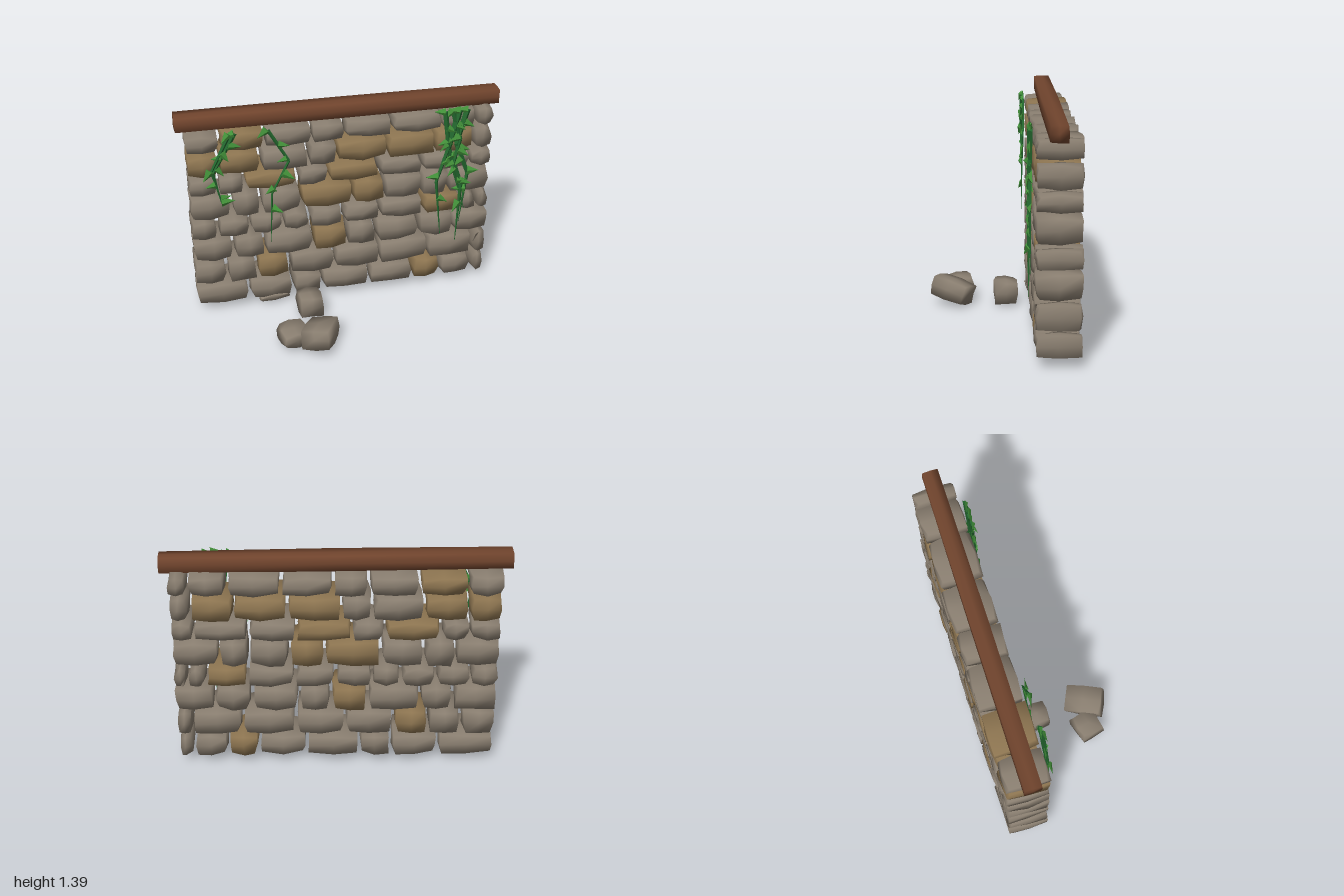
import * as THREE from 'three';
import { mergeVertices } from 'three/addons/utils/BufferGeometryUtils.js';

const mat = (name, color, extra = {}) => new THREE.MeshStandardMaterial({ name, color, ...extra });

function seeded(seed) {
  let s = seed;
  return () => {
    s = (s * 16807) % 2147483647;
    return s / 2147483647;
  };
}

export function createModel() {
  const group = new THREE.Group();
  const grey = mat('greyStone', 0x887d6f);
  const tan = mat('tanStone', 0x8c7450);
  const wood = mat('wood', 0x70442d);
  const stemGreen = mat('stemGreen', 0x24692f, { flatShading: true });
  const leafGreen = mat('leafGreen', 0x43923a, { side: THREE.DoubleSide, flatShading: true });
  const rand = seeded(4711);
  const jitter = (a) => (rand() * 2 - 1) * a;

  function add(parent, name, geometry, material) {
    const mesh = new THREE.Mesh(geometry, material);
    mesh.name = name;
    parent.add(mesh);
    return mesh;
  }

  // Rough block: a welded box with soft normals, corners drawn in and shifted
  function roughBlock(w, h, d, inset, rough) {
    let g = new THREE.BoxGeometry(w, h, d, 2, 2, 2);
    g.deleteAttribute('normal');
    g.deleteAttribute('uv');
    g = mergeVertices(g);
    const p = g.attributes.position;
    for (let i = 0; i < p.count; i++) {
      const v = [p.getX(i), p.getY(i), p.getZ(i)];
      const sides = v.filter((c) => Math.abs(c) > 1e-4).length;
      const pull = inset * [0, 0, 0.35, 1][sides];
      const r = rough * (sides === 3 ? 1 : 0.4);
      const [x, y, z] = v.map((c) => (Math.abs(c) > 1e-4 ? c - Math.sign(c) * pull : c));
      p.setXYZ(i, x + jitter(r), y + jitter(r * 0.7), z + jitter(r * 1.2));
    }
    g.computeVertexNormals();
    return g;
  }

  // Courses from the ground up: top height, joints between stones, tan stones
  const courses = [
    { top: 0.217, joints: [-.615, -.33, -.14, .175, .465, .65, .86], tans: [5] },
    { top: 0.39, joints: [-.75, -.555, -.345, -.055, .24, .56, .855], tans: [2] },
    { top: 0.56, joints: [-.695, -.5, -.19, .03, .215, .5, .72], tans: [3] },
    { top: 0.7, joints: [-.79, -.585, -.38, -.21, 0, .24, .52, .76, .87], tans: [7] },
    { top: 0.875, joints: [-.695, -.51, -.26, .065, .27, .505, .68], tans: [3, 4] },
    { top: 1.005, joints: [-.77, -.605, -.28, -.09, .23, .505, .815], tans: [2, 4] },
    { top: 1.165, joints: [-.76, -.505, -.21, -.03, .28, .585, .83], tans: [0, 1, 4, 5, 6] },
    { top: 1.3, joints: [-.745, -.475, -.19, .015, .31, .62, .84], tans: [1] },
  ];
  const gap = 0.018;
  const wall = new THREE.Group();
  wall.name = 'wall';
  group.add(wall);
  let bottom = 0.06;
  for (const { top, joints, tans } of courses) {
    const edges = [-0.957, ...joints, 0.957];
    for (let i = 0; i + 1 < edges.length; i++) {
      const g = roughBlock(edges[i + 1] - edges[i] - gap, top - bottom - gap, 0.258, 0.012, 0.013);
      const stone = add(wall, 'wallStone', g, tans.includes(i) ? tan : grey);
      stone.position.set((edges[i] + edges[i + 1]) / 2, (bottom + top) / 2, -0.314);
    }
    bottom = top;
  }

  // Fallen stones, and a shard under the lowest course
  function fallenStone(size, position, rotation) {
    const stone = add(group, 'fallenStone', roughBlock(...size, 0.008, 0.012), grey);
    stone.position.set(...position);
    stone.rotation.set(...rotation);
  }
  fallenStone([.15, .145, .15], [-.255, .098, -.045], [0, .12, -.08]);
  fallenStone([.17, .11, .16], [-.41, .1, .255], [.06, .22, 0]);
  fallenStone([.185, .135, .235], [-.25, .107, .295], [-.25, -.5, .05]);
  fallenStone([.2, .06, .1], [-.46, .07, -.235], [.15, .1, .05]);

  // Capping beam, dropping slightly to one side
  const beam = roughBlock(2, 0.096, 0.104, 0.003, 0.003);
  beam.rotateZ(-0.012);
  add(group, 'beam', beam, wood).position.set(0, 1.338, -0.302);

  // Leaf: a flat three-sided spike hanging from its base
  const leafGeometry = new THREE.ConeGeometry(0.038, 0.08, 3);
  leafGeometry.scale(1, -1, 0.35).translate(0, -0.034, 0);

  // Hanging vine: tapering three-sided stem through four points, with leaves
  const drops = [0, 0.28, 0.55, 1];
  const up = new THREE.Vector3(0, 1, 0);
  function hangVine(radius, length, leaves, xs) {
    const vine = new THREE.Group();
    vine.name = 'vine';
    group.add(vine);
    const path = xs.map((x, i) => new THREE.Vector3(x, 1.31 - length * drops[i], -0.157 + jitter(0.006)));
    for (let i = 0; i < 3; i++) {
      const dir = path[i].clone().sub(path[i + 1]);
      const rTop = radius * (1 - i * 0.2);
      const rEnd = i === 2 ? 0.002 : radius * (0.8 - i * 0.2);
      const g = new THREE.CylinderGeometry(rTop, rEnd, dir.length(), 3).scale(1, 1, 0.65);
      const stem = add(vine, 'stem', g, stemGreen);
      stem.position.copy(path[i]).add(path[i + 1]).multiplyScalar(0.5);
      stem.quaternion.setFromUnitVectors(up, dir.normalize());
    }
    for (let k = 0; k < leaves; k++) {
      const t = (k / (leaves - 1)) * (length > 0.6 ? 2.3 : 2.95);
      const i = Math.floor(t);
      const side = k % 2 ? 1 : -1;
      const leaf = add(vine, 'leaf', leafGeometry, leafGreen);
      leaf.position.lerpVectors(path[i], path[i + 1], t - i);
      leaf.position.x += side * 0.008;
      leaf.position.z += 0.006;
      leaf.rotation.set(jitter(0.25), jitter(0.35), side * (0.6 + rand() * 1.1));
      leaf.scale.setScalar(0.8 + rand() * 0.3);
    }
  }
  hangVine(.021, .47, 6, [-.66, -.73, -.8, -.76]);
  hangVine(.016, .44, 4, [-.69, -.75, -.81, -.76]);
  hangVine(.013, .79, 6, [-.46, -.34, -.45, -.47]);
  hangVine(.02, .89, 6, [.63, .66, .59, .63]);
  hangVine(.026, .95, 7, [.72, .66, .75, .73]);
  hangVine(.024, .81, 7, [.77, .71, .79, .75]);
  hangVine(.02, .71, 6, [.68, .73, .69, .78]);
  return group;
}
